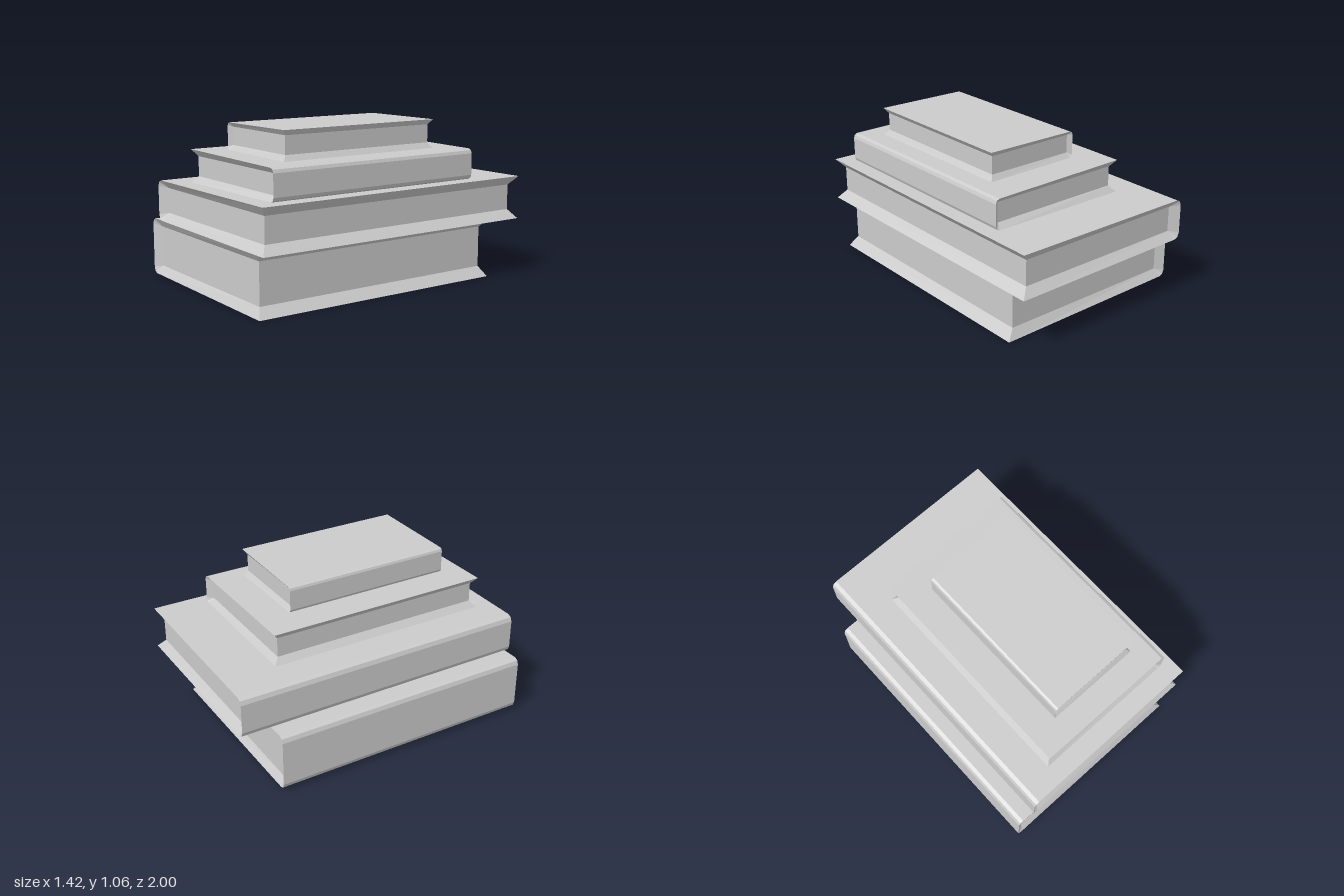
import * as THREE from 'three';

// spine/fore: x of spine and fore edge (foreLow: lower cover); top/bottom: y at [spine, fore];
// z: back and front; px, py: page block extents; inset: depth of pages behind cover ends; r: spine rounding
const BOOKS = [
  { name: 'bottomBook', spine: -0.71, fore: 0.633, foreLow: 0.645, top: [0.389, 0.384], bottom: [0.012, 0],
    z: [-0.795, 0.99], px: [-0.65, 0.59], py: [0.065, 0.335], inset: 0.035, r: 0.035 },
  { name: 'largeBook', spine: -0.595, fore: 0.71, foreLow: 0.71, top: [0.661, 0.67], bottom: [0.391, 0.384],
    z: [-1, 1], px: [-0.535, 0.655], py: [0.443, 0.61], inset: 0.045, r: 0.036 },
  { name: 'mediumBook', spine: 0.625, fore: -0.367, foreLow: -0.367, top: [0.87, 0.878], bottom: [0.669, 0.662],
    z: [-0.65, 0.875], px: [-0.33, 0.583], py: [0.704, 0.834], inset: 0.035, r: 0.027 },
  { name: 'topBook', spine: -0.175, fore: 0.483, foreLow: 0.483, top: [1.058, 1.064], bottom: [0.882, 0.877],
    z: [-0.437, 0.71], px: [-0.15, 0.457], py: [0.913, 1.03], inset: 0.025, r: 0.02 },
];

const material = new THREE.MeshStandardMaterial({ color: 0xcccccc, flatShading: true });

// Flat-shaded mesh from four-cornered faces; flip reverses the corner order
function quadMesh(name, quads, flip) {
  const pos = [];
  for (const q of quads) {
    const [a, b, c, d] = flip ? [...q].reverse() : q;
    for (const tri of [[a, b, c], [a, c, d]]) {
      const area = new THREE.Triangle(...tri).getArea();
      if (area > 1e-9) tri.forEach((p) => pos.push(p.x, p.y, p.z));
    }
  }
  const geometry = new THREE.BufferGeometry();
  geometry.setAttribute('position', new THREE.Float32BufferAttribute(pos, 3));
  geometry.computeVertexNormals();
  const mesh = new THREE.Mesh(geometry, material);
  mesh.name = name;
  return mesh;
}

function makeBook(b) {
  const dir = Math.sign(b.fore - b.spine);
  const x = (d) => b.spine + dir * d * b.r;
  const [ts, tf] = b.top, [bs, bf] = b.bottom;

  // Cover outline: fore top, over the rounded spine, fore bottom
  const outline = [
    [b.fore, tf], [x(1), ts], [x(0.3), ts - 0.35 * b.r], [x(0), ts - 1.1 * b.r],
    [x(0), bs + 1.1 * b.r], [x(0.3), bs + 0.35 * b.r], [x(1), bs], [b.foreLow, bf],
  ];
  // Matching points on the page block
  const inner = outline.map(([u, v]) => [
    THREE.MathUtils.clamp(u, ...b.px), THREE.MathUtils.clamp(v, ...b.py),
  ]);
  const at = (pts, z) => pts.map(([u, v]) => new THREE.Vector3(u, v, z));
  const [z0, z1] = b.z;
  const oB = at(outline, z0), oF = at(outline, z1);
  const iB = at(inner, z0 + b.inset), iF = at(inner, z1 - b.inset);
  const n = outline.length - 1;

  // Outer shell and the sloping rims leading in to the pages
  const cover = [];
  for (let i = 0; i < n; i++) {
    const j = i + 1;
    cover.push([oB[i], oB[j], oF[j], oF[i]]);
    cover.push([oF[i], oF[j], iF[j], iF[i]]);
    cover.push([oB[j], oB[i], iB[i], iB[j]]);
  }
  cover.push([oF[n], oB[n], iB[n], iF[n]], [oB[0], oF[0], iF[0], iB[0]]);

  // Visible page faces: front, back and fore edge
  const pages = [
    [iF[0], iF[2], iF[5], iF[n]],
    [iB[n], iB[5], iB[2], iB[0]],
    [iF[n], iB[n], iB[0], iF[0]],
  ];

  const book = new THREE.Group();
  book.name = b.name;
  book.add(quadMesh('cover', cover, dir < 0), quadMesh('pages', pages, dir < 0));
  return book;
}

export function createModel() {
  const model = new THREE.Group();
  model.name = 'bookStack';
  BOOKS.forEach((b) => model.add(makeBook(b)));
  return model;
}
